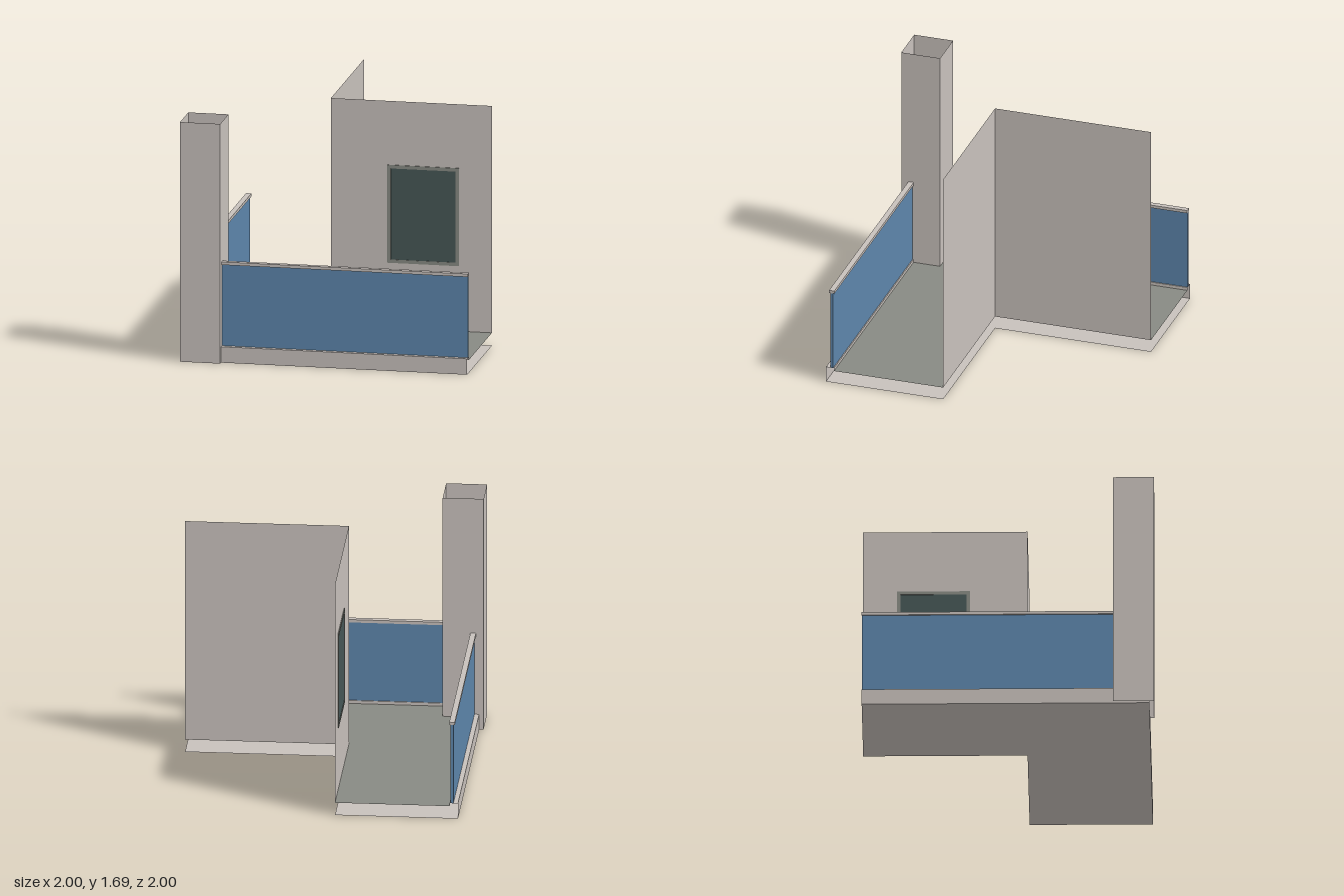
import * as THREE from 'three';
import { mergeGeometries } from 'three/addons/utils/BufferGeometryUtils.js';

function material(name, color) {
  const m = new THREE.MeshStandardMaterial({ color, side: THREE.DoubleSide });
  m.name = name;
  return m;
}

// L-shaped plan: one arm along the front, one along the side, meeting at the outer corner
function planShape(outer, inner) {
  return new THREE.Shape([
    [1, -outer], [1, -inner], [-inner, -inner],
    [-inner, 1], [-outer, 1], [-outer, -outer],
  ].map(([x, y]) => new THREE.Vector2(x, y)));
}

// Flat L-shaped sheet at height y
function sheet(outer, inner, y) {
  return new THREE.ShapeGeometry(planShape(outer, inner)).rotateX(-Math.PI / 2).translate(0, y, 0);
}

// Solid L-shaped bar from y0 to y1
function bar(outer, inner, y0, y1) {
  return new THREE.ExtrudeGeometry(planShape(outer, inner), { depth: y1 - y0, bevelEnabled: false })
    .rotateX(-Math.PI / 2).translate(0, y0, 0);
}

// Two upright sheets meeting at the corner (-d, d)
function uprights(d, y0, y1) {
  const width = 1 + d, mid = (1 - d) / 2, y = (y0 + y1) / 2;
  return mergeGeometries([
    new THREE.PlaneGeometry(width, y1 - y0).translate(mid, y, d),
    new THREE.PlaneGeometry(width, y1 - y0).rotateY(-Math.PI / 2).translate(-d, y, -mid),
  ]);
}

export function createModel() {
  const model = new THREE.Group();
  model.name = 'cornerBalcony';
  const plaster = material('plaster', 0xc8c1bc);
  const stone = material('greyStone', 0x888a83);
  const blue = material('bluePanel', 0x5d85ab);
  const glass = material('darkGlass', 0x465756);

  function add(name, geometry, mat, parent = model) {
    const mesh = new THREE.Mesh(geometry, mat);
    mesh.name = name;
    parent.add(mesh);
    return mesh;
  }

  // Slab, floor and curb
  const wallLine = 0.125, floorY = 0.09, curbY = 0.112;
  add('slabUnderside', sheet(0.97, wallLine, 0), plaster);
  add('floor', sheet(0.912, wallLine, floorY), stone);
  add('curb', mergeGeometries([
    uprights(0.97, 0, curbY),
    sheet(0.97, 0.912, curbY),
    uprights(0.912, floorY, curbY),
  ]), plaster);

  // Parapet panels and handrail
  add('parapetPanels', bar(0.938, 0.919, curbY, 0.684), blue);
  add('handrail', bar(0.948, 0.91, 0.684, 0.705), plaster);

  // House walls
  add('houseWalls', uprights(wallLine, floorY, 1.69), plaster);

  // Hollow corner column, open at both ends
  const column = new THREE.CylinderGeometry(0.14 * Math.SQRT2, 0.14 * Math.SQRT2, 1.69, 4, 1, true)
    .rotateY(Math.PI / 4).toNonIndexed();
  column.computeVertexNormals();
  add('cornerColumn', column, plaster).position.set(-0.86, 0.845, 0.86);

  // One window on each wall
  const rect = (w, h) => [[-w, -h], [w, -h], [w, h], [-w, h]].map(([x, y]) => new THREE.Vector2(x, y));
  const frameShape = new THREE.Shape(rect(0.25, 0.345));
  frameShape.holes.push(new THREE.Path(rect(0.226, 0.321)));
  const frame = new THREE.ExtrudeGeometry(frameShape, { depth: 0.006, bevelEnabled: false });
  const pane = new THREE.PlaneGeometry(0.452, 0.642).translate(0, 0, 0.003);
  for (const side of ['front', 'side']) {
    const win = new THREE.Group();
    win.name = side + 'Window';
    add('windowFrame', frame, stone, win);
    add('windowPane', pane, glass, win);
    if (side === 'front') {
      win.position.set(0.52, 0.895, wallLine + 0.001);
    } else {
      win.position.set(-wallLine - 0.001, 0.895, -0.52);
      win.rotation.y = -Math.PI / 2;
    }
    model.add(win);
  }
  return model;
}
